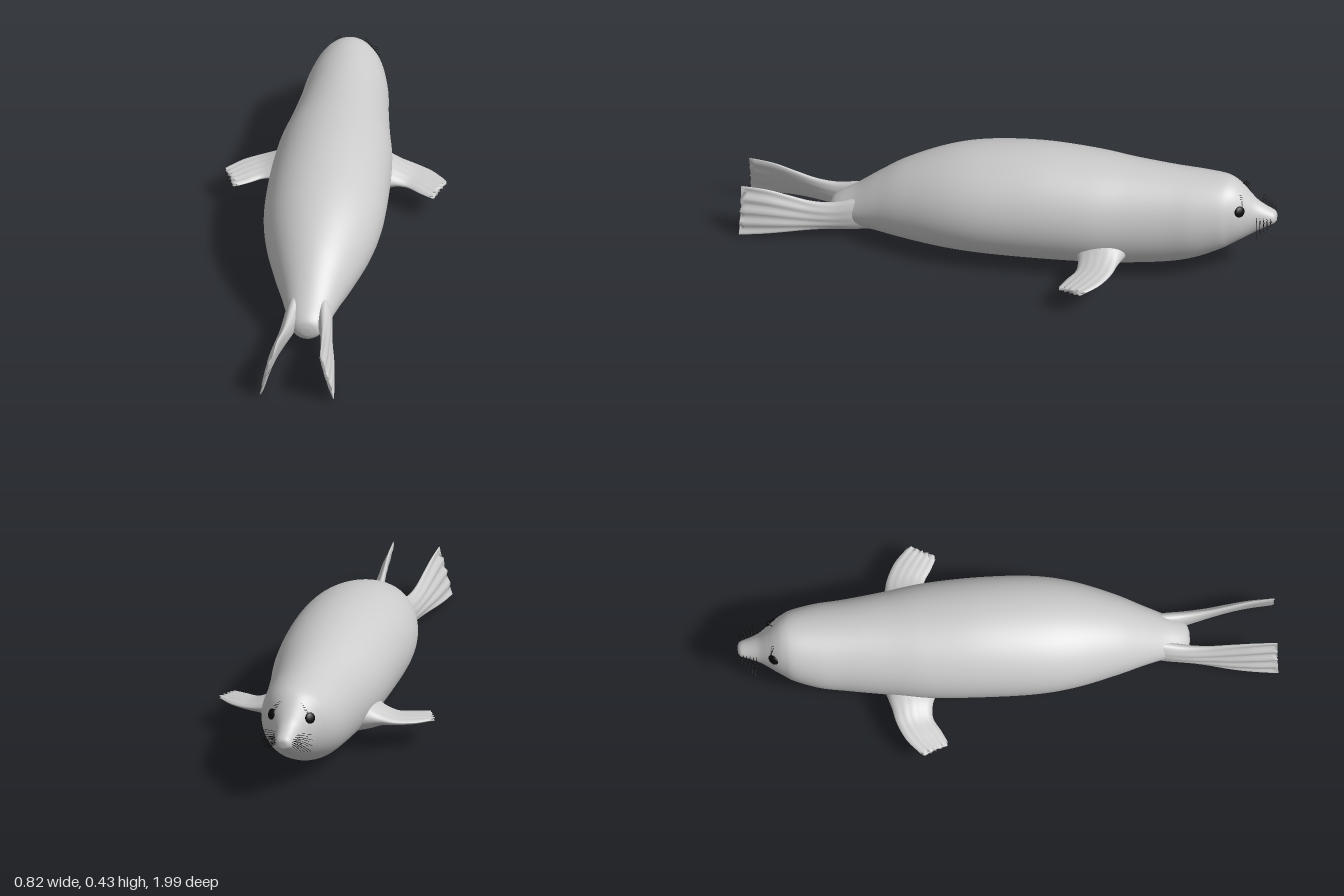
import * as THREE from 'three';
import { mergeGeometries } from 'three/addons/utils/BufferGeometryUtils.js';

const V = (x, y, z) => new THREE.Vector3(x, y, z);
const skin = new THREE.MeshStandardMaterial({ color: 0xcccccc });
const dark = new THREE.MeshStandardMaterial({ color: 0x0a0a0a });

// Closed smooth skin through rings: point(u, angle), u from 0 to 1
function loft(nu, na, point) {
  const pos = [], idx = [];
  for (let i = 0; i <= nu; i++)
    for (let j = 0; j < na; j++) pos.push(...point(i / nu, (j / na) * Math.PI * 2).toArray());
  for (let i = 0; i < nu; i++)
    for (let j = 0; j < na; j++) {
      const k = (j + 1) % na, a = i * na + j, b = i * na + k, c = a + na, d = b + na;
      idx.push(a, b, c, b, d, c);
    }
  // end caps
  for (const ring of [0, nu]) {
    const mid = V(0, 0, 0), c = pos.length / 3;
    for (let j = 0; j < na; j++) mid.add(V(0, 0, 0).fromArray(pos, (ring * na + j) * 3));
    pos.push(...mid.divideScalar(na).toArray());
    for (let j = 0; j < na; j++) {
      const a = ring * na + j, b = ring * na + ((j + 1) % na);
      ring ? idx.push(c, a, b) : idx.push(c, b, a);
    }
  }
  const g = new THREE.BufferGeometry();
  g.setAttribute('position', new THREE.Float32BufferAttribute(pos, 3));
  g.setIndex(idx);
  g.computeVertexNormals();
  return g;
}

// Mirror across x, keeping faces outward
function mirrorX(geo) {
  const g = geo.clone(), ix = g.index.array, p = g.attributes.position;
  for (let i = 0; i < p.count; i++) p.setX(i, -p.getX(i));
  for (let i = 0; i < ix.length; i += 3) [ix[i], ix[i + 1]] = [ix[i + 1], ix[i]];
  g.computeVertexNormals();
  return g;
}

const spline = (pts) => new THREE.CatmullRomCurve3(pts, false, 'catmullrom', 0.5);

// Body stations: z, top, bottom, half width
const stations = [
  [-0.995, 0.264, 0.236, 0.014], [-0.985, 0.276, 0.226, 0.028], [-0.955, 0.292, 0.208, 0.038],
  [-0.92, 0.315, 0.184, 0.05], [-0.89, 0.345, 0.164, 0.068], [-0.86, 0.374, 0.146, 0.09],
  [-0.83, 0.394, 0.127, 0.109], [-0.79, 0.403, 0.104, 0.13], [-0.7, 0.406, 0.062, 0.154],
  [-0.6, 0.41, 0.033, 0.166], [-0.45, 0.419, 0.015, 0.188], [-0.3, 0.431, 0.009, 0.212],
  [-0.1, 0.437, 0.004, 0.223], [0.1, 0.417, 0.004, 0.221], [0.25, 0.38, 0.008, 0.198],
  [0.4, 0.315, 0.018, 0.152], [0.5, 0.25, 0.029, 0.114], [0.58, 0.19, 0.037, 0.086],
  [0.64, 0.153, 0.044, 0.066], [0.668, 0.13, 0.055, 0.045], [0.677, 0.105, 0.075, 0.018],
];
const heights = spline(stations.map(([z, t, b]) => V(t, b, z)));
const widths = spline(stations.map(([z, , , w]) => V(w, 0, z)));
function bodyPoint(u, a) {
  const h = heights.getPoint(u), w = widths.getPoint(u).x;
  return V(w * Math.cos(a), (h.x + h.y) / 2 + ((h.x - h.y) / 2) * Math.sin(a), h.z);
}
// Point and outward normal of the body at a given z and angle
function onBody(z, a) {
  let lo = 0, hi = 1;
  for (let i = 0; i < 30; i++) {
    const m = (lo + hi) / 2;
    if (heights.getPoint(m).z < z) lo = m; else hi = m;
  }
  const p = bodyPoint(lo, a), e = 0.002;
  const n = bodyPoint(lo, a + e).sub(p).cross(bodyPoint(lo + e, a).sub(p)).normalize();
  return { p, n };
}

// Front flipper: lead x, lead z, trail x, trail z, height, half thickness
function frontFlipper() {
  const st = [
    [0.13, -0.47, 0.13, -0.25, 0.128, 0.07], [0.185, -0.452, 0.185, -0.275, 0.127, 0.052],
    [0.23, -0.438, 0.222, -0.288, 0.122, 0.031], [0.285, -0.424, 0.268, -0.288, 0.115, 0.018],
    [0.35, -0.392, 0.315, -0.262, 0.11, 0.013], [0.405, -0.343, 0.36, -0.24, 0.106, 0.008],
  ];
  const lead = spline(st.map((s) => V(s[0], s[4] + 0.008, s[1])));
  const trail = spline(st.map((s) => V(s[2], s[4] - 0.006, s[3])));
  const thick = spline(st.map((s) => V(s[5], 0, s[0])));
  return loft(30, 48, (u, a) => {
    const t = (1 + Math.sin(a)) / 2, digits = Math.cos(t * Math.PI * 10);
    const p = lead.getPoint(u).lerp(trail.getPoint(u), t);
    p.y += thick.getPoint(u).x * Math.cos(a) * (1 - 0.18 * u * u * digits);
    const tip = Math.pow(u, 8) * (0.006 - 0.006 * digits);
    return p.add(V(tip * 0.85, 0, tip * 0.5));
  });
}

// Hind flipper: z, centre x, top, bottom, half thickness, slant
function hindFlipper() {
  const st = [
    [0.48, 0.04, 0.2, 0.045, 0.028, 0], [0.58, 0.056, 0.172, 0.04, 0.03, 0.002],
    [0.66, 0.069, 0.152, 0.043, 0.025, 0.006], [0.74, 0.082, 0.155, 0.042, 0.019, 0.013],
    [0.82, 0.094, 0.175, 0.036, 0.015, 0.02], [0.9, 0.103, 0.196, 0.026, 0.011, 0.023],
    [0.985, 0.109, 0.205, 0.016, 0.006, 0.025],
  ];
  const top = spline(st.map((s) => V(s[1] - s[5], s[2], s[0])));
  const low = spline(st.map((s) => V(s[1] + s[5], s[3], s[0])));
  const thick = spline(st.map((s) => V(s[4], 0, s[0])));
  return loft(36, 56, (u, a) => {
    const t = (1 - Math.sin(a)) / 2, digits = Math.cos(t * Math.PI * 8);
    const p = top.getPoint(u).lerp(low.getPoint(u), t);
    p.x += thick.getPoint(u).x * Math.cos(a) * (1 + 0.25 * u * u * digits) + 0.003 * u * u * digits;
    p.z += Math.pow(u, 8) * (0.006 + 0.006 * digits);
    return p;
  });
}

// Fine curved hair from a root along a direction, drooping at the tip
function hair(root, dir, length, droop) {
  const end = root.clone().addScaledVector(dir, length);
  const curve = new THREE.QuadraticBezierCurve3(root, root.clone().lerp(end, 0.55), end.clone().add(V(0, -droop, 0)));
  return new THREE.TubeGeometry(curve, 5, 0.0008, 4);
}

export function createModel() {
  const model = new THREE.Group();
  model.name = 'seal';
  const add = (name, geo, mat = skin) => {
    const m = new THREE.Mesh(geo, mat);
    m.name = name;
    model.add(m);
    return m;
  };

  add('body', loft(110, 64, bodyPoint));
  const fore = frontFlipper(), hind = hindFlipper();
  add('frontFlipperA', fore);
  add('frontFlipperB', mirrorX(fore));
  add('hindFlipperA', hind);
  add('hindFlipperB', mirrorX(hind));

  for (const s of [1, -1]) {
    const side = s > 0 ? 'A' : 'B';
    const at = (z, a) => onBody(z, s > 0 ? a : Math.PI - a);

    // Flattened eye lying on the face
    const eye = at(-0.868, 0.52);
    const m = add('eye' + side, new THREE.SphereGeometry(1, 24, 16), dark);
    m.scale.set(0.021, 0.021, 0.009);
    m.position.copy(eye.p);
    m.quaternion.setFromUnitVectors(V(0, 0, 1), eye.n);

    // Whiskers in rows on the muzzle
    const hairs = [];
    for (let r = 0; r < 4; r++)
      for (let c = 0; c < 5; c++) {
        const { p, n } = at(-0.975 + c * 0.012, 0.35 - r * 0.22);
        const dir = n.clone().add(V(s * 0.5, 0.1 - r * 0.12, -0.25 + c * 0.1)).normalize();
        hairs.push(hair(p, dir, 0.03 + c * 0.006, 0.005));
      }
    add('whiskers' + side, mergeGeometries(hairs), dark);

    // Brow hairs above the eye
    const brow = [];
    for (let c = 0; c < 6; c++) {
      const { p, n } = at(-0.872 + c * 0.002, 0.82 + c * 0.06);
      brow.push(hair(p, n.clone().add(V(s * (0.6 - c * 0.15), 0, 0)).normalize(), 0.02, 0.004));
    }
    add('browHairs' + side, mergeGeometries(brow), dark);
  }
  return model;
}
